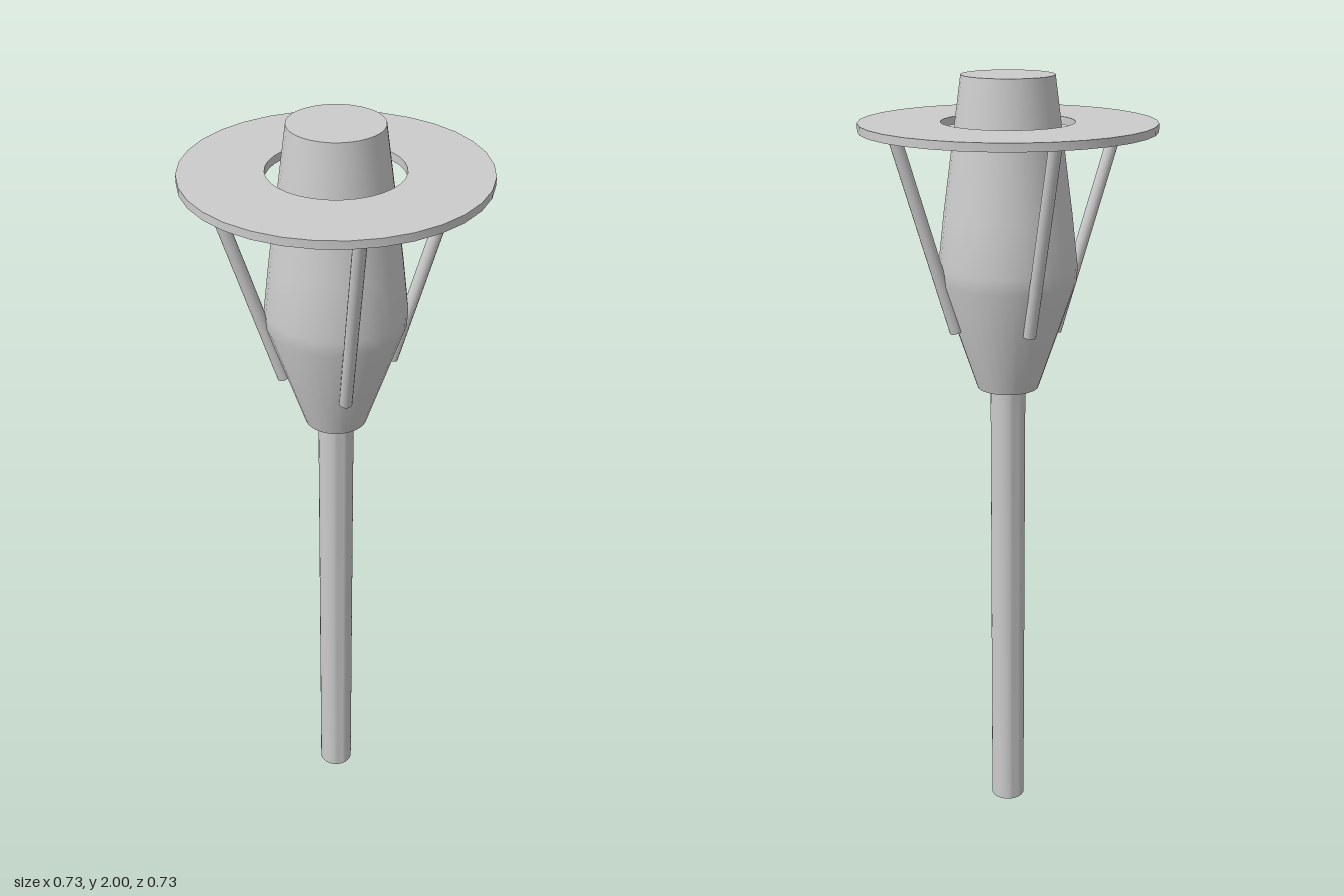
import * as THREE from 'three';
import { toCreasedNormals } from 'three/addons/utils/BufferGeometryUtils.js';

const SIDES = 32;

export function createModel() {
  const group = new THREE.Group();
  const material = new THREE.MeshStandardMaterial({ color: 0xcccccc });

  const add = (name, geometry) => {
    const mesh = new THREE.Mesh(geometry, material);
    mesh.name = name;
    group.add(mesh);
    return mesh;
  };

  // Turned part from [radius, height] pairs, with crisp rims
  const turned = (points) => toCreasedNormals(
    new THREE.LatheGeometry(points.map(([r, y]) => new THREE.Vector2(r, y)), SIDES),
    0.7
  );

  // Pole
  add('pole', turned([[0, 0], [0.045, 0], [0.045, 1.23], [0, 1.23]]));

  // Tapered lamp body, widest near its lower third
  add('lampBody', turned([
    [0, 1.222], [0.078, 1.222], [0.172, 1.5], [0.174, 1.54],
    [0.159, 1.67], [0.114, 2], [0, 2],
  ]));

  // Flat shade ring around the body
  add('shadeRing', turned([
    [0.163, 1.87], [0.363, 1.87], [0.363, 1.89], [0.163, 1.89], [0.163, 1.87],
  ]));

  // Four slanted struts, each slightly turned off its axis and set at its own height:
  // [quarter turns, foot radius, foot height, top radius]
  const struts = [
    ['frontStrut', 0, 0.131, 1.345, 0.296],
    ['leftStrut', 1, 0.14, 1.38, 0.29],
    ['backStrut', 2, 0.141, 1.39, 0.285],
    ['rightStrut', 3, 0.131, 1.355, 0.296],
  ];
  const up = new THREE.Vector3(0, 1, 0);
  for (const [name, turn, footR, footY, topR] of struts) {
    const angle = turn * Math.PI / 2 - 0.093;
    const at = (r, y) => new THREE.Vector3(r * Math.sin(angle), y, r * Math.cos(angle));
    const foot = at(footR, footY);
    const top = at(topR, 1.875);
    const axis = top.clone().sub(foot);
    const strut = add(name, new THREE.CylinderGeometry(0.016, 0.016, axis.length(), 16));
    strut.position.copy(foot).add(top).multiplyScalar(0.5);
    strut.quaternion.setFromUnitVectors(up, axis.normalize());
  }

  return group;
}
